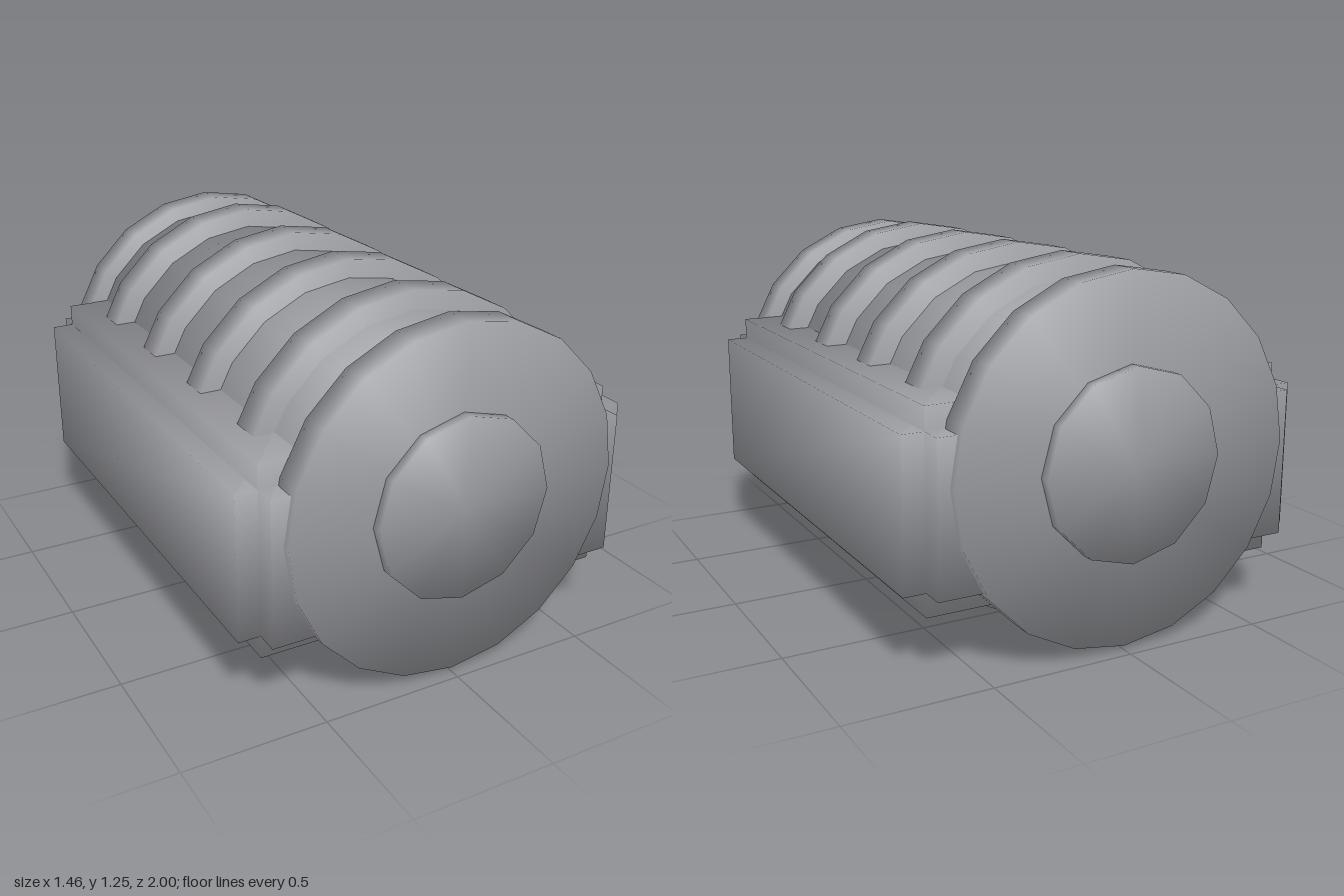
import * as THREE from 'three';

const CENTER_Y = 0.628;

export function createModel() {
  const model = new THREE.Group();
  model.name = 'ribbedDrum';
  const material = new THREE.MeshStandardMaterial({ color: 0x98999e });

  // Normals lean outward evenly at every corner, so shading runs softly over the edges
  function add(name, geometry, half, y, z) {
    const position = geometry.attributes.position;
    const normal = new THREE.Vector3();
    for (let i = 0; i < position.count; i++) {
      normal.fromBufferAttribute(position, i).divide(half).normalize();
      geometry.attributes.normal.setXYZ(i, normal.x, normal.y, normal.z);
    }
    const mesh = new THREE.Mesh(geometry, material);
    mesh.name = name;
    mesh.position.set(0, y, z);
    model.add(mesh);
  }

  // Disc or drum lying along z, with a corner at the top
  function drum(name, radius, sides, z0, z1) {
    const geometry = new THREE.CylinderGeometry(radius, radius, z1 - z0, sides);
    geometry.rotateX(Math.PI / 2);
    add(name, geometry, new THREE.Vector3(radius, radius, (z1 - z0) / 2), CENTER_Y, (z0 + z1) / 2);
  }

  // Block centred on x and z
  function block(name, halfX, y0, y1, halfZ) {
    const half = new THREE.Vector3(halfX, (y1 - y0) / 2, halfZ);
    const geometry = new THREE.BoxGeometry(half.x * 2, half.y * 2, half.z * 2);
    add(name, geometry, half, (y0 + y1) / 2, 0);
  }

  // Core and the four ribs around it
  drum('core', 0.56, 20, -0.87, 0.87);
  [-0.6, -0.2, 0.2, 0.6].forEach((z, i) => drum('rib' + (i + 1), 0.627, 20, z - 0.058, z + 0.058));

  // End plates with their hubs
  drum('frontPlate', 0.613, 20, 0.855, 0.962);
  drum('backPlate', 0.613, 20, -0.962, -0.855);
  drum('frontHub', 0.32, 12, 0.95, 1);
  drum('backHub', 0.32, 12, -1, -0.95);

  // Stepped block through the middle: wide, tall and long layers
  block('wideBlock', 0.732, 0.283, 0.79, 0.853);
  block('tallBlock', 0.655, 0.203, 0.868, 0.853);
  block('longBlock', 0.655, 0.283, 0.79, 0.935);

  return model;
}
